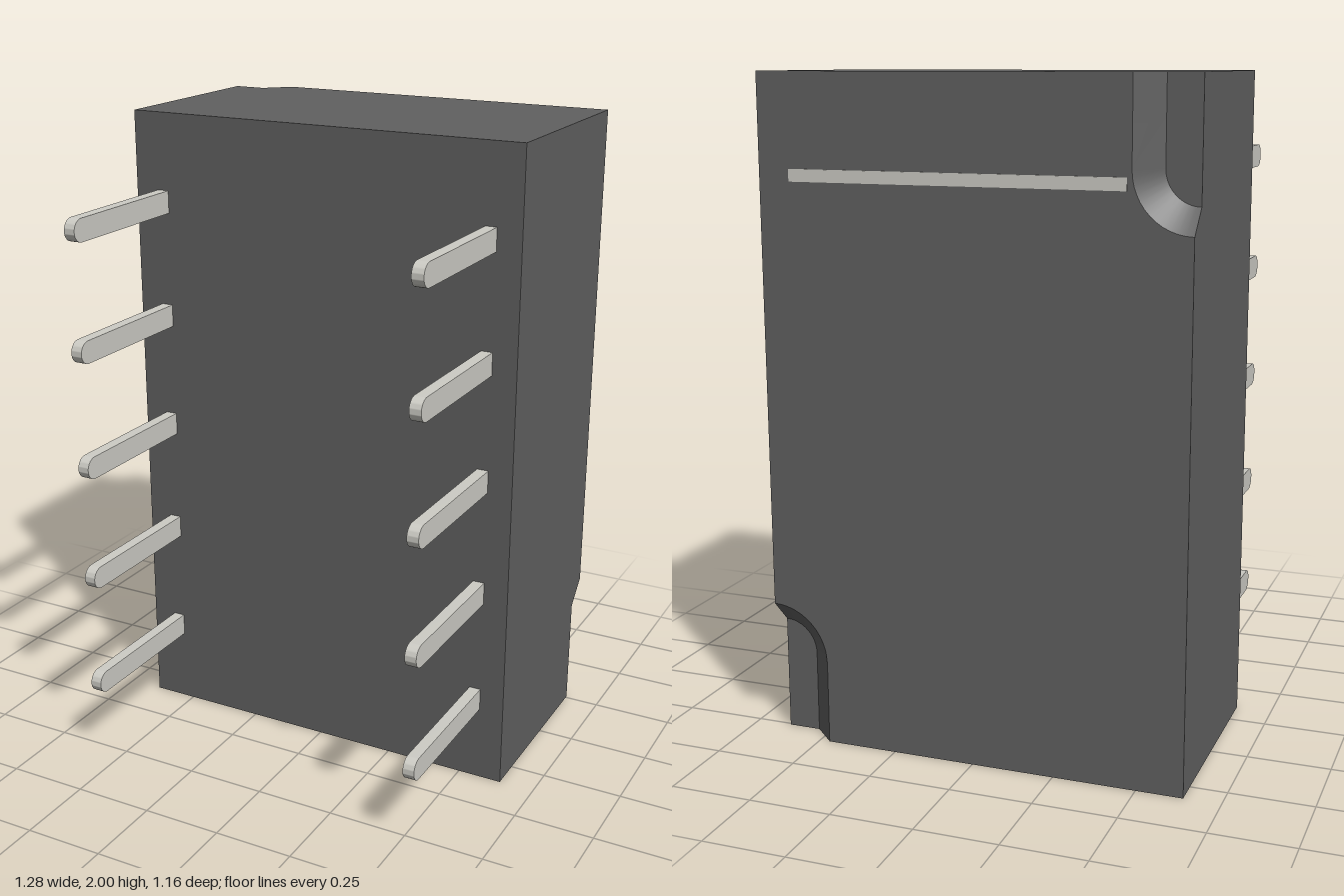
import * as THREE from 'three';
import { toCreasedNormals } from 'three/addons/utils/BufferGeometryUtils.js';

const W = 0.64, H = 2;                          // half width, height
const FRONT = 0.1, FLOOR = -0.507, BACK = -0.577; // depth levels of the housing
const NOTCH_Y = 0.25;                           // where the notch corner starts to curve

// Housing outline with a round-cornered notch of width r at two opposite corners
function outline(r) {
  const half = [new THREE.Vector2(W - r, 0)];
  for (let i = 0; i <= 12; i++) {
    const a = Math.PI * (1 - i / 24);
    half.push(new THREE.Vector2(W + r * Math.cos(a), NOTCH_Y + r * Math.sin(a)));
  }
  half.push(new THREE.Vector2(W, H));
  return [...half, ...half.map(p => new THREE.Vector2(-p.x, H - p.y))];
}

// Back layer: narrow notches at the floor flare to wide ones at the back face
function backLayerGeometry() {
  const narrow = outline(0.1), wide = outline(0.172);
  const geo = new THREE.ExtrudeGeometry(new THREE.Shape(narrow), { depth: FLOOR - BACK, bevelEnabled: false });
  const pos = geo.attributes.position;
  const v = new THREE.Vector2();
  for (let i = 0; i < pos.count; i++) {
    if (pos.getZ(i) > 0.01) continue;
    v.set(pos.getX(i), pos.getY(i));
    const k = narrow.findIndex(p => p.distanceTo(v) < 1e-4);
    if (k >= 0) pos.setXY(i, wide[k].x, wide[k].y);
  }
  geo.translate(0, 0, BACK);
  return toCreasedNormals(geo, 0.4);
}

// Flat pin with a round tip pointing to +z
function pinGeometry() {
  const r = 0.035, tip = 0.58, w = 0.036;
  const s = new THREE.Shape();
  s.moveTo(FRONT - 0.02, -r);
  s.lineTo(tip - r, -r);
  s.absarc(tip - r, 0, r, -Math.PI / 2, Math.PI / 2, false);
  s.lineTo(FRONT - 0.02, r);
  s.closePath();
  const geo = new THREE.ExtrudeGeometry(s, { depth: w, bevelEnabled: false, curveSegments: 16 });
  geo.translate(0, 0, -w / 2).rotateY(-Math.PI / 2);
  return toCreasedNormals(geo, 0.4);
}

export function createModel() {
  const model = new THREE.Group();
  model.name = 'pinnedModule';
  const dark = new THREE.MeshStandardMaterial({ color: 0x606060 });
  const metal = new THREE.MeshStandardMaterial({ color: 0xcccbc4 });

  const add = (name, geo, mat, x, y, z, parent = model) => {
    const mesh = new THREE.Mesh(geo, mat);
    mesh.name = name;
    mesh.position.set(x, y, z);
    parent.add(mesh);
  };

  // Housing
  const housing = new THREE.Group();
  housing.name = 'housing';
  model.add(housing);
  add('housingBlock', new THREE.BoxGeometry(2 * W, H, FRONT - FLOOR), dark, 0, H / 2, (FRONT + FLOOR) / 2, housing);
  add('notchedBackLayer', backLayerGeometry(), dark, 0, 0, 0, housing);

  // Marking stripe, slightly proud of the back face
  add('stripe', new THREE.BoxGeometry(1, 0.036, 0.01), metal, 0.045, 1.71, BACK + 0.002);

  // Two rows of five pins
  const pins = new THREE.Group();
  pins.name = 'pins';
  model.add(pins);
  const pin = pinGeometry();
  for (const side of [-1, 1])
    for (let i = -2; i <= 2; i++)
      add(side > 0 ? 'leftPin' : 'rightPin', pin, metal, side * 0.545, 1 + i * 0.363, 0, pins);

  return model;
}
